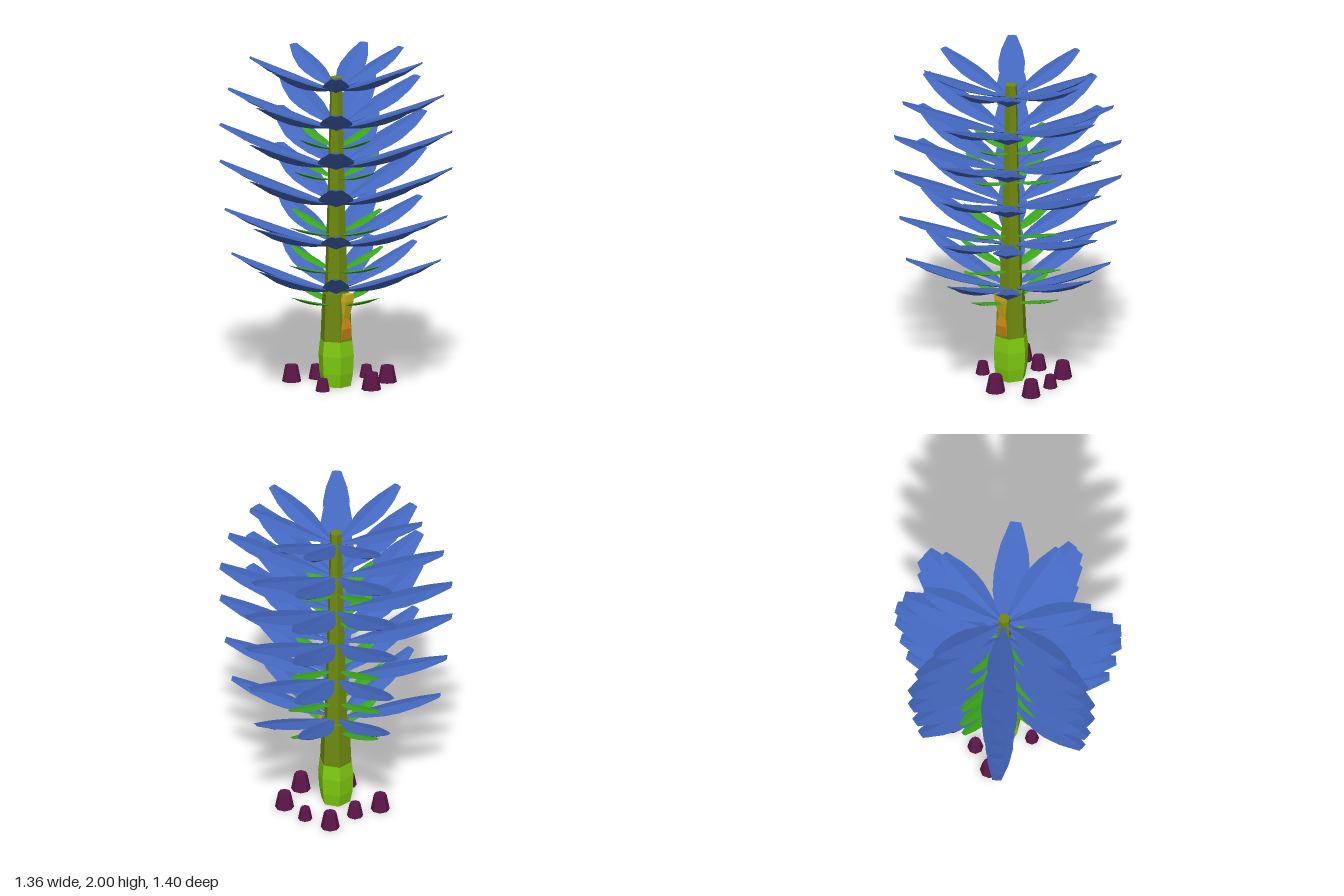
import * as THREE from 'three';

const mat = (color) => new THREE.MeshStandardMaterial({ color, flatShading: true, side: THREE.DoubleSide });
const MAT = {
  petal: mat(0x4468c0), leaf: mat(0x3aa81a), stem: mat(0x6f8a10), bulb: mat(0x80cc10),
  orange: mat(0xd08c14), yellow: mat(0xd8b81a), pot: mat(0x5c1648),
};
const DEG = Math.PI / 180;
const CX = -0.03; // the stem stands slightly off centre

// Closed skin through equal rings, each counter-clockwise seen from the far end
function loft(rings) {
  const n = rings[0].length, index = [];
  for (let i = 0; i < rings.length - 1; i++) {
    for (let k = 0; k < n; k++) {
      const a = i * n + k, b = i * n + (k + 1) % n;
      index.push(a, b, a + n, b, b + n, a + n);
    }
  }
  const last = (rings.length - 1) * n;
  for (let k = 1; k < n - 1; k++) {
    index.push(0, k + 1, k, last, last + k, last + k + 1);
  }
  const g = new THREE.BufferGeometry();
  g.setAttribute('position', new THREE.Float32BufferAttribute(rings.flat(2), 3));
  g.setIndex(index);
  const flat = g.toNonIndexed();
  flat.computeVertexNormals();
  return flat;
}

// Blade pointing along +x: blunt tip, gentle upward sweep, ridged underside
function bladeGeometry(length, halfWidth, rise, thickness) {
  const stations = [[0.05, 0.14], [0.14, 0.26], [0.3, 0.68], [0.48, 0.96], [0.62, 1], [0.8, 0.8], [0.94, 0.48], [1, 0.34]];
  return loft(stations.map(([t, s]) => {
    const x = t * length, w = s * halfWidth, h = thickness * (0.2 + 0.8 * s) * (t > 0.9 ? 0.5 : 1);
    const y = rise * (0.6 * t + 0.4 * t * t);
    return [[x, y, -w], [x, y + h * 0.35, 0], [x, y, w], [x, y - h * 0.65, 0]];
  }));
}

function add(group, name, geometry, material, x = 0, y = 0, z = 0) {
  const mesh = new THREE.Mesh(geometry, material);
  mesh.name = name;
  mesh.position.set(x, y, z);
  group.add(mesh);
  return mesh;
}

// Ring of blades around the stem; each direction is [angle, length factor]
function whorl(group, name, geometry, material, y, directions) {
  const ring = new THREE.Group();
  ring.name = name + 'Whorl';
  ring.position.set(CX, y, 0);
  for (const [angle, scale] of directions) {
    const blade = add(ring, name, geometry, material);
    blade.rotation.y = angle * DEG;
    blade.scale.x = scale;
  }
  group.add(ring);
}

// Six-sided stem section between two heights
function hexSection(group, name, y0, r0, y1, r1, material) {
  add(group, name, new THREE.CylinderGeometry(r1, r0, y1 - y0, 6), material, CX, (y0 + y1) / 2, 0);
}

export function createModel() {
  const model = new THREE.Group();
  model.name = 'plant';

  // Stem: bright bulbous foot, thick lower stalk, slender upper stalk
  hexSection(model, 'stemFoot', 0, 0.09, 0.08, 0.105, MAT.bulb);
  hexSection(model, 'stemFoot', 0.08, 0.105, 0.19, 0.11, MAT.bulb);
  hexSection(model, 'stemFoot', 0.19, 0.11, 0.28, 0.1, MAT.bulb);
  hexSection(model, 'lowerStem', 0.28, 0.098, 0.57, 0.085, MAT.stem);
  hexSection(model, 'upperStem', 0.57, 0.072, 1.1, 0.055, MAT.stem);
  hexSection(model, 'upperStem', 1.1, 0.055, 1.89, 0.036, MAT.stem);

  // Six tiers of blue petals: base y, tip y, length, half width
  const petalDirections = [[4, 1], [37, 1], [88, 1], [117, 0.96], [167, 0.96], [219, 1], [271, 1], [316, 1]];
  const tiers = [
    [0.58, 0.79, 0.63, 0.08], [0.86, 1.06, 0.67, 0.09], [1.11, 1.355, 0.7, 0.105],
    [1.34, 1.58, 0.7, 0.11], [1.58, 1.8, 0.65, 0.098], [1.81, 1.995, 0.52, 0.08],
  ];
  for (const [base, tip, length, halfWidth] of tiers) {
    whorl(model, 'petal', bladeGeometry(length, halfWidth, tip - base, 0.05), MAT.petal, base, petalDirections);
  }

  // Small green leaves beneath the petals: base y, length
  const leafDirections = [0, 90, 180, 270].map((a) => [a, 1]);
  for (const [base, length] of [[0.49, 0.36], [0.69, 0.38], [0.92, 0.37], [1.26, 0.345], [1.45, 0.3]]) {
    whorl(model, 'leaf', bladeGeometry(length, 0.042, 0.1, 0.018), MAT.leaf, base, leafDirections);
  }

  // Side shoot on the left of the stem: orange base and yellow tip
  const shootRing = (y, x0, x1, w) => [[x1, y, w], [x1, y, -w], [x0, y, -w], [x0, y, w]];
  add(model, 'shootBase', loft([
    shootRing(0.28, 0, 0.052, 0.04), shootRing(0.36, 0.02, 0.066, 0.036), shootRing(0.42, 0.03, 0.058, 0.022),
  ]), MAT.orange);
  add(model, 'shootTip', loft([
    shootRing(0.42, 0.03, 0.058, 0.022), shootRing(0.53, 0.04, 0.088, 0.032), shootRing(0.575, 0.055, 0.092, 0.03),
  ]), MAT.yellow);

  // Tapered purple stubs scattered on the ground: x, z, size
  const stubs = [
    [-0.29, 0.12, 1], [-0.24, -0.04, 0.85], [0.03, 0.17, 0.75], [-0.06, -0.28, 0.75],
    [0.12, -0.28, 1], [0.2, -0.07, 1.03], [-0.23, -0.235, 1],
  ];
  for (const [x, z, s] of stubs) {
    add(model, 'groundStub', new THREE.CylinderGeometry(0.038 * s, 0.057 * s, 0.1 * s, 8), MAT.pot, x, 0.05 * s, z);
  }
  return model;
}
